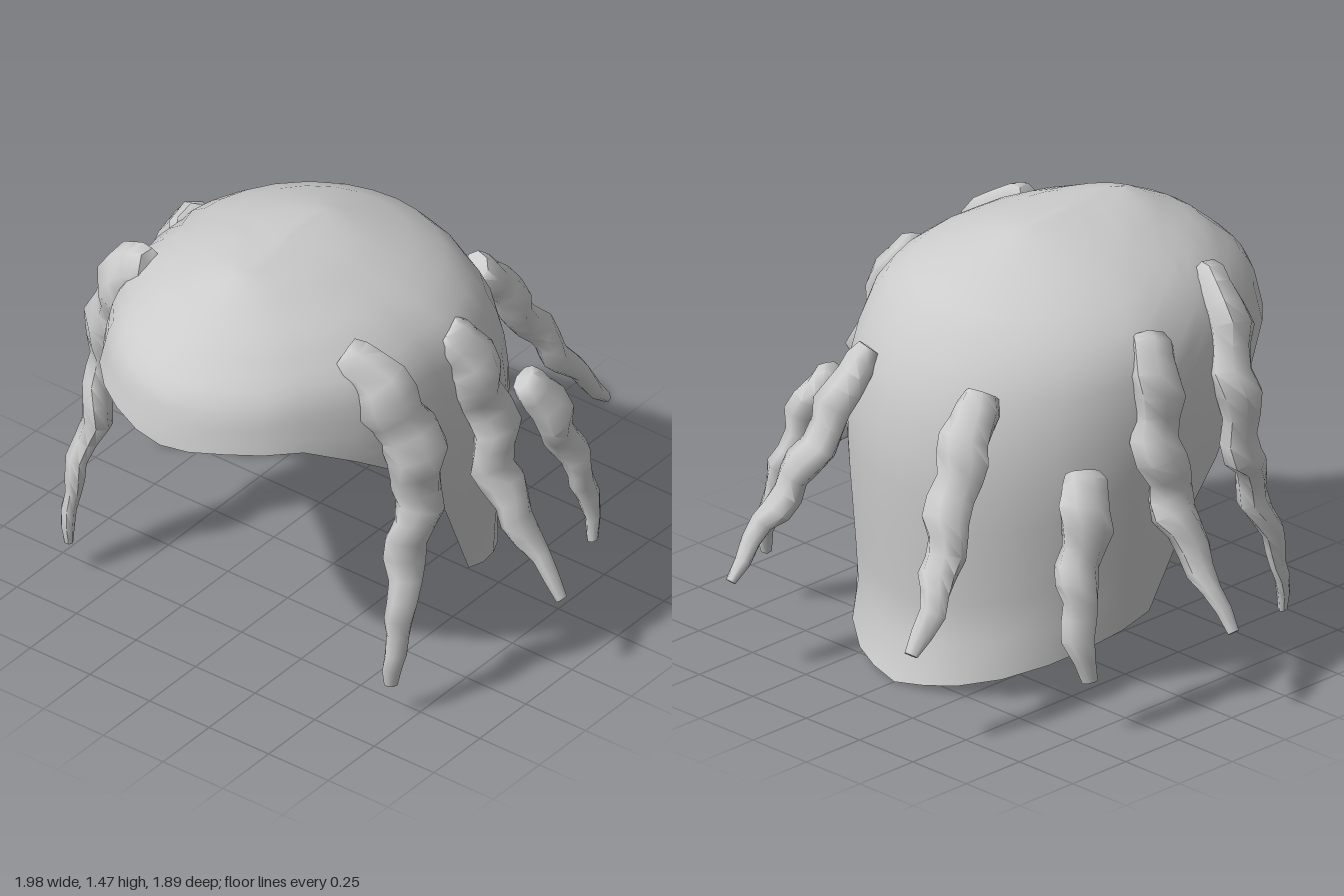
import * as THREE from 'three';
import { toCreasedNormals } from 'three/addons/utils/BufferGeometryUtils.js';

// Cap outline by height: y, half width, front z, back z, centre z
const LEVELS = [
  [1.47, 0, 0.25, 0.25, 0.25], [1.463, 0.06, 0.48, 0.05, 0.25], [1.44, 0.19, 0.55, -0.03, 0.23],
  [1.35, 0.41, 0.73, -0.25, 0.19], [1.29, 0.495, 0.8, -0.35, 0.16], [1.24, 0.55, 0.86, -0.39, 0.14],
  [1.18, 0.59, 0.91, -0.43, 0.12], [1.03, 0.63, 0.945, -0.51, 0.1], [0.8, 0.645, 0.95, -0.55, 0.09],
  [0.6, 0.625, 0.95, -0.545, 0.09], [0.25, 0.59, 0.95, -0.525, 0.09], [0.13, 0.585, 0.95, -0.525, 0.09],
  [0, 0.61, 0.95, -0.585, 0.09],
];

// Rim height by angle, from the brow (0) to the nape (180)
const RIM = [
  [0, 1.01], [10, 1.02], [21, 1.035], [32, 1.036], [43, 1.035], [57, 0.955], [67, 0.87], [75, 0.73],
  [83, 0.59], [96, 0.25], [106, 0.205], [118, 0.16], [130, 0.115], [144, 0.07], [158, 0.035], [169, 0.017], [180, 0],
];

// Locks on the left side: centre line points as x, y, z, radius
const LOCKS = {
  frontLock: [
    [0.4, 1.275, 0.47, 0.08], [0.49, 1.23, 0.45, 0.105], [0.57, 1.12, 0.42, 0.115], [0.63, 0.97, 0.39, 0.108],
    [0.66, 0.8, 0.385, 0.09], [0.655, 0.68, 0.42, 0.08], [0.655, 0.53, 0.465, 0.07],
    [0.685, 0.38, 0.515, 0.05], [0.68, 0.25, 0.55, 0.04], [0.68, 0.115, 0.565, 0.025],
  ],
  sideLock: [
    [0.52, 1.2, 0.09, 0.085], [0.58, 1.14, 0.06, 0.11], [0.63, 1.0, 0.02, 0.1], [0.665, 0.85, 0.0, 0.095],
    [0.7, 0.7, 0.02, 0.09], [0.77, 0.57, 0.02, 0.075], [0.87, 0.44, 0.025, 0.045], [0.98, 0.295, 0.025, 0.022],
  ],
  rearSideLock: [
    [0.58, 0.85, -0.28, 0.06], [0.625, 0.78, -0.31, 0.095], [0.66, 0.64, -0.365, 0.085],
    [0.69, 0.5, -0.41, 0.07], [0.725, 0.37, -0.44, 0.06], [0.755, 0.19, -0.43, 0.028],
  ],
  backLock: [
    [0.265, 1.085, -0.435, 0.06], [0.285, 0.99, -0.51, 0.09], [0.3, 0.86, -0.585, 0.088], [0.335, 0.72, -0.67, 0.08],
    [0.375, 0.6, -0.735, 0.07], [0.415, 0.48, -0.82, 0.05], [0.425, 0.34, -0.93, 0.026],
  ],
};

// Joins closed rows of points into a surface
function loft(rows) {
  const n = rows[0].length, index = [];
  for (let i = 0; i < rows.length - 1; i++) {
    for (let j = 0; j < n; j++) {
      const k = (j + 1) % n;
      const a = i * n + j, b = i * n + k, c = a + n, d = b + n;
      index.push(a, c, b, b, c, d);
    }
  }
  const geo = new THREE.BufferGeometry().setFromPoints(rows.flat());
  geo.setIndex(index);
  geo.computeVertexNormals();
  return geo;
}

function levelAt(y) {
  let i = 1;
  while (i < LEVELS.length - 1 && y < LEVELS[i][0]) i++;
  const a = LEVELS[i - 1], b = LEVELS[i];
  const t = (a[0] - y) / (a[0] - b[0]);
  return a.map((v, k) => THREE.MathUtils.lerp(v, b[k], t));
}

function capPoint(deg, y) {
  const [, w, front, back, mid] = levelAt(y);
  const a = THREE.MathUtils.degToRad(deg), c = Math.cos(a);
  return new THREE.Vector3(w * Math.sin(a), y, mid + (c > 0 ? front - mid : mid - back) * c);
}

// Open shell: rings spread from the crown down to the uneven rim
function capGeometry() {
  const around = [...RIM, ...RIM.slice(1, -1).reverse().map(([d, y]) => [360 - d, y])];
  const rows = [];
  const steps = 16;
  for (let i = 0; i <= steps; i++) {
    const drop = 1 - Math.cos((i / steps) * Math.PI / 2);
    rows.push(around.map(([d, rim]) => capPoint(d, 1.47 - (1.47 - rim) * drop)));
  }
  return loft(rows);
}

// Knobbly, twisting tapered strand with closed ends
function lockGeometry(points, side) {
  const curve = new THREE.CatmullRomCurve3(points.map(([x, y, z]) => new THREE.Vector3(x * side, y, z)));
  const steps = points.length * 2, sides = 7, rows = [];
  for (let i = 0; i <= steps; i++) {
    const t = i / steps, f = t * (points.length - 1);
    const k = Math.min(Math.floor(f), points.length - 2);
    const knob = 1 + 0.08 * Math.sin(i * 2.1);
    const r = THREE.MathUtils.lerp(points[k][3], points[k + 1][3], f - k) * knob;
    const p = curve.getPoint(t), tan = curve.getTangent(t);
    const out = new THREE.Vector3(p.x, 0, p.z).normalize();
    out.addScaledVector(tan, -out.dot(tan)).normalize();
    const across = new THREE.Vector3().crossVectors(tan, out);
    // small sideways wobble, fading in along the strand
    const wob = r * 0.16 * Math.min(1, t * 3);
    p.addScaledVector(across, side * wob * Math.sin(i * 1.7)).addScaledVector(out, wob * Math.cos(i * 1.7));
    const ring = [];
    for (let j = 0; j < sides; j++) {
      const a = (j / sides) * Math.PI * 2 + side * i * 0.12;
      ring.push(p.clone().addScaledVector(out, Math.cos(a) * r * 0.7).addScaledVector(across, Math.sin(a) * r));
    }
    if (i === 0) rows.push(ring.map(() => p.clone()));
    rows.push(ring);
    if (i === steps) rows.push(ring.map(() => p.clone()));
  }
  return toCreasedNormals(loft(rows), 1.2);
}

export function createModel() {
  const group = new THREE.Group();
  const material = new THREE.MeshStandardMaterial({ color: 0xcccccc, side: THREE.DoubleSide });
  const add = (name, geo) => {
    const mesh = new THREE.Mesh(geo, material);
    mesh.name = name;
    group.add(mesh);
  };

  add('hairCap', capGeometry());

  // Four locks on each side
  for (const [name, points] of Object.entries(LOCKS)) {
    add(name + 'Left', lockGeometry(points, 1));
    add(name + 'Right', lockGeometry(points, -1));
  }
  return group;
}
